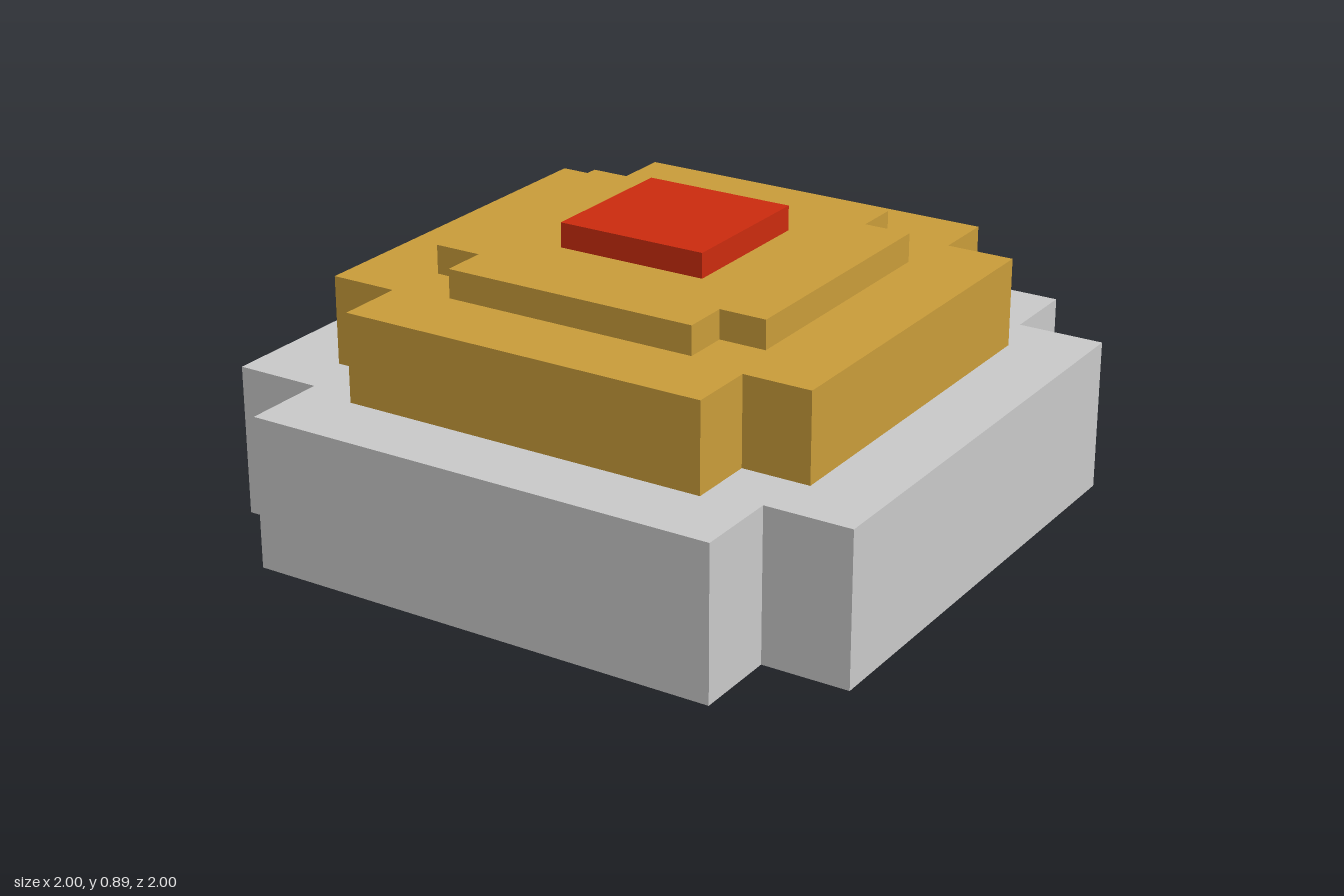
import * as THREE from 'three';

// Square slab with a rectangular notch cut from each corner.
// half: outer half size, nx: notch x positions [left, right],
// nz: notch z positions [backLeft, backRight, front]
function notchedSlab(name, material, [x0, x1], z, nx, nz, y0, y1) {
  const [l, r] = nx, [bl, br, f] = nz;
  const outline = [
    [l, z], [l, f], [x0, f], [x0, bl], [l, bl], [l, -z],
    [r, -z], [r, br], [x1, br], [x1, f], [r, f], [r, z],
  ];
  const shape = new THREE.Shape(outline.map(([x, pz]) => new THREE.Vector2(x, -pz)));
  const geometry = new THREE.ExtrudeGeometry(shape, { depth: y1 - y0, bevelEnabled: false });
  geometry.rotateX(-Math.PI / 2);
  geometry.translate(0, y0, 0);
  const mesh = new THREE.Mesh(geometry, material);
  mesh.name = name;
  return mesh;
}

export function createModel() {
  const group = new THREE.Group();
  group.name = 'steppedButton';

  const grey = new THREE.MeshStandardMaterial({ name: 'lightGrey', color: 0xc9c9c9 });
  const gold = new THREE.MeshStandardMaterial({ name: 'gold', color: 0xc99c3a });
  const red = new THREE.MeshStandardMaterial({ name: 'red', color: 0xcb2b0e });

  // Three stacked tiers
  group.add(
    notchedSlab('base', grey, [-1, 1], 1, [-0.735, 0.735], [-0.735, -0.75, 0.74], 0, 0.46),
    notchedSlab('middleTier', gold, [-0.78, 0.778], 0.78, [-0.573, 0.57], [-0.575, -0.585, 0.573], 0.46, 0.728),
    notchedSlab('upperTier', gold, [-0.545, 0.537], 0.54, [-0.4, 0.393], [-0.397, -0.402, 0.4], 0.728, 0.815),
  );

  // Square cap on top
  const cap = new THREE.Mesh(new THREE.BoxGeometry(0.468, 0.075, 0.468), red);
  cap.name = 'cap';
  cap.position.set(-0.002, 0.8525, -0.004);
  group.add(cap);

  return group;
}
